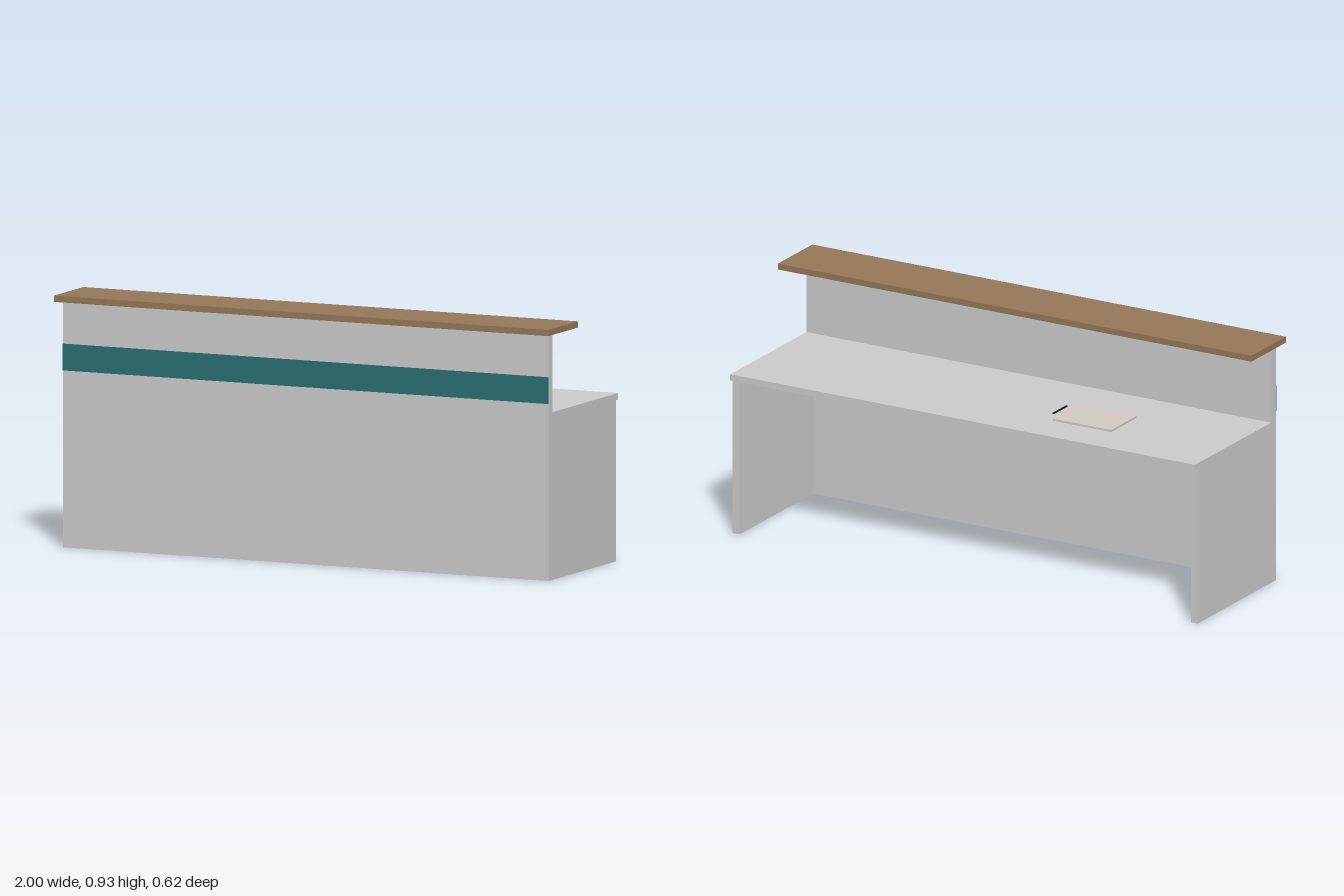
import * as THREE from 'three';

const paint = (color) => new THREE.MeshStandardMaterial({ color });

export function createModel() {
  const desk = new THREE.Group();
  desk.name = 'receptionDesk';
  const grey = paint(0xcccccc);
  const wood = paint(0x96785a);
  const teal = paint(0x2b6e72);
  const paper = paint(0xd0cac2);
  const black = paint(0x111111);

  // Box given by its min and max on each axis
  const slab = (name, material, [x0, x1], [y0, y1], [z0, z1]) => {
    const mesh = new THREE.Mesh(new THREE.BoxGeometry(x1 - x0, y1 - y0, z1 - z0), material);
    mesh.position.set((x0 + x1) / 2, (y0 + y1) / 2, (z0 + z1) / 2);
    mesh.name = name;
    desk.add(mesh);
  };

  // Tall front panel with its coloured band and the raised counter
  slab('frontPanel', grey, [-0.982, 0.982], [0, 0.905], [0.235, 0.268]);
  slab('accentBand', teal, [-0.982, 0.982], [0.65, 0.748], [0.267, 0.272]);
  slab('counterTop', wood, [-1, 1], [0.905, 0.928], [0.063, 0.308]);

  // Work surface on two side panels, open at the back
  slab('workSurface', grey, [-0.982, 0.982], [0.592, 0.616], [-0.308, 0.235]);
  slab('leftSidePanel', grey, [0.953, 0.982], [0, 0.592], [-0.29, 0.235]);
  slab('rightSidePanel', grey, [-0.982, -0.953], [0, 0.592], [-0.29, 0.235]);

  // Writing pad with a pen beside it
  slab('writingPad', paper, [-0.535, -0.29], [0.616, 0.624], [-0.152, 0.028]);
  slab('pen', black, [-0.268, -0.262], [0.625, 0.629], [-0.11, -0.012]);

  return desk;
}
